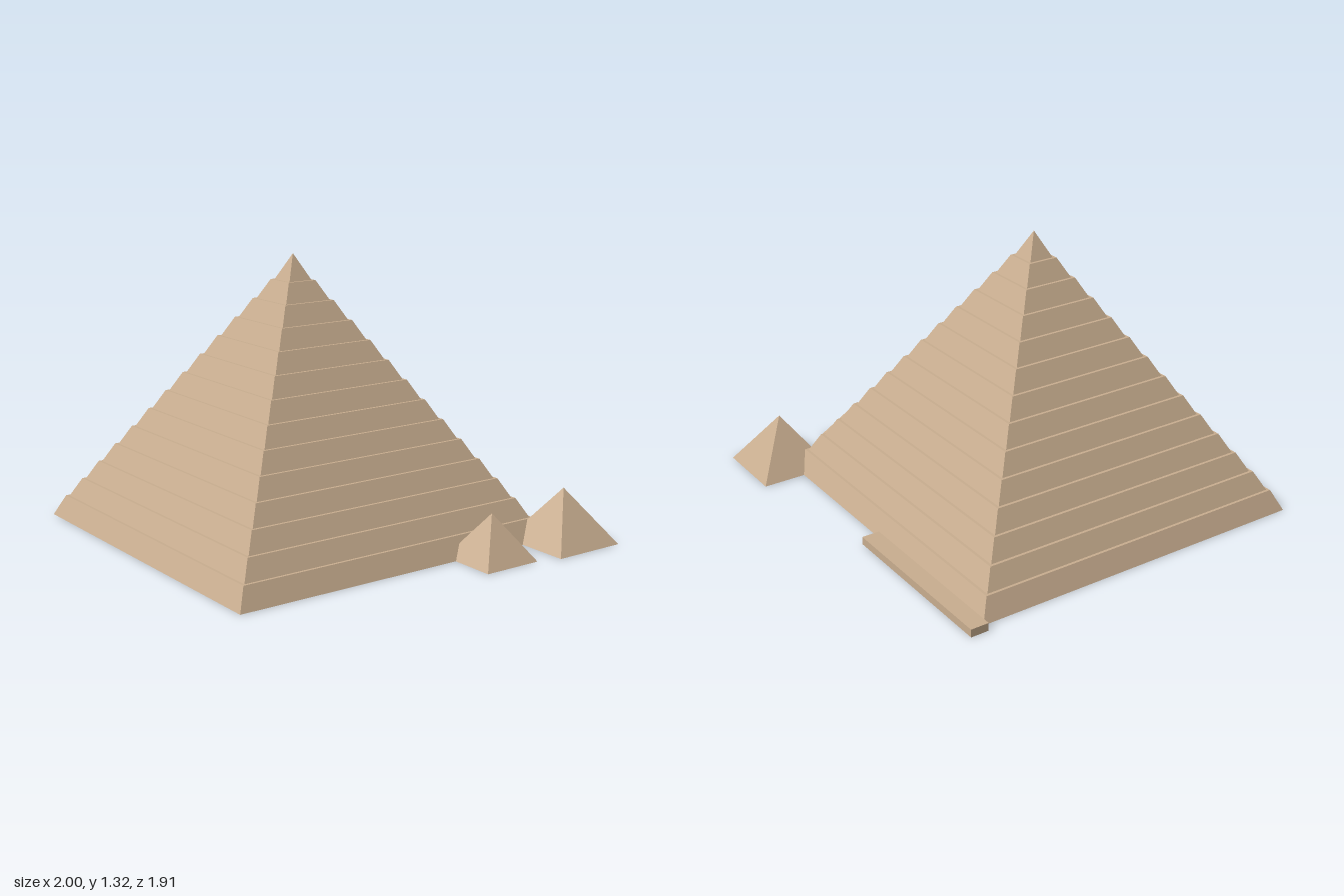
import * as THREE from 'three';

const stone = new THREE.MeshStandardMaterial({ color: 0xc8ad8f });
stone.name = 'sandstone';

// Square frustum standing on y, with half widths at its bottom and top
function frustum(name, bottom, top, height, x, y, z) {
  const geo = new THREE.CylinderGeometry(top * Math.SQRT2, bottom * Math.SQRT2, height, 4, 1)
    .rotateY(Math.PI / 4)
    .translate(0, height / 2, 0)
    .toNonIndexed();
  geo.computeVertexNormals();
  const mesh = new THREE.Mesh(geo, stone);
  mesh.name = name;
  mesh.position.set(x, y, z);
  return mesh;
}

export function createModel() {
  const model = new THREE.Group();
  model.name = 'pyramidComplex';

  // Great pyramid: sloped courses, each leaving a narrow ledge
  const great = new THREE.Group();
  great.name = 'greatPyramid';
  great.position.set(-0.105, 0, 0.102);
  const courses = 13, base = 0.852, inset = 0.0608, ledge = 0.013;
  const level = (i) => (i === 0 ? 0 : 0.1 + 0.0912 * (i - 1));
  for (let i = 0; i < courses; i++) {
    const half = base - inset * i;
    great.add(frustum('course' + (i + 1), half, half - inset + ledge, level(i + 1) - level(i), 0, level(i), 0));
  }
  // Pointed capstone
  const top = level(courses);
  great.add(frustum('capstone', base - inset * courses, 0, 1.317 - top, 0, top, 0));
  model.add(great);

  // Two satellite pyramids
  model.add(frustum('largeSatellitePyramid', 0.183, 0, 0.26, 0.815, 0, -0.777));
  model.add(frustum('smallSatellitePyramid', 0.147, 0, 0.215, 0.815, 0, -0.337));

  // Low platform along the back edge
  const platform = new THREE.Mesh(new THREE.BoxGeometry(0.895, 0.038, 0.087), stone);
  platform.name = 'platform';
  platform.position.set(-0.5525, 0.019, -0.7965);
  model.add(platform);

  return model;
}
